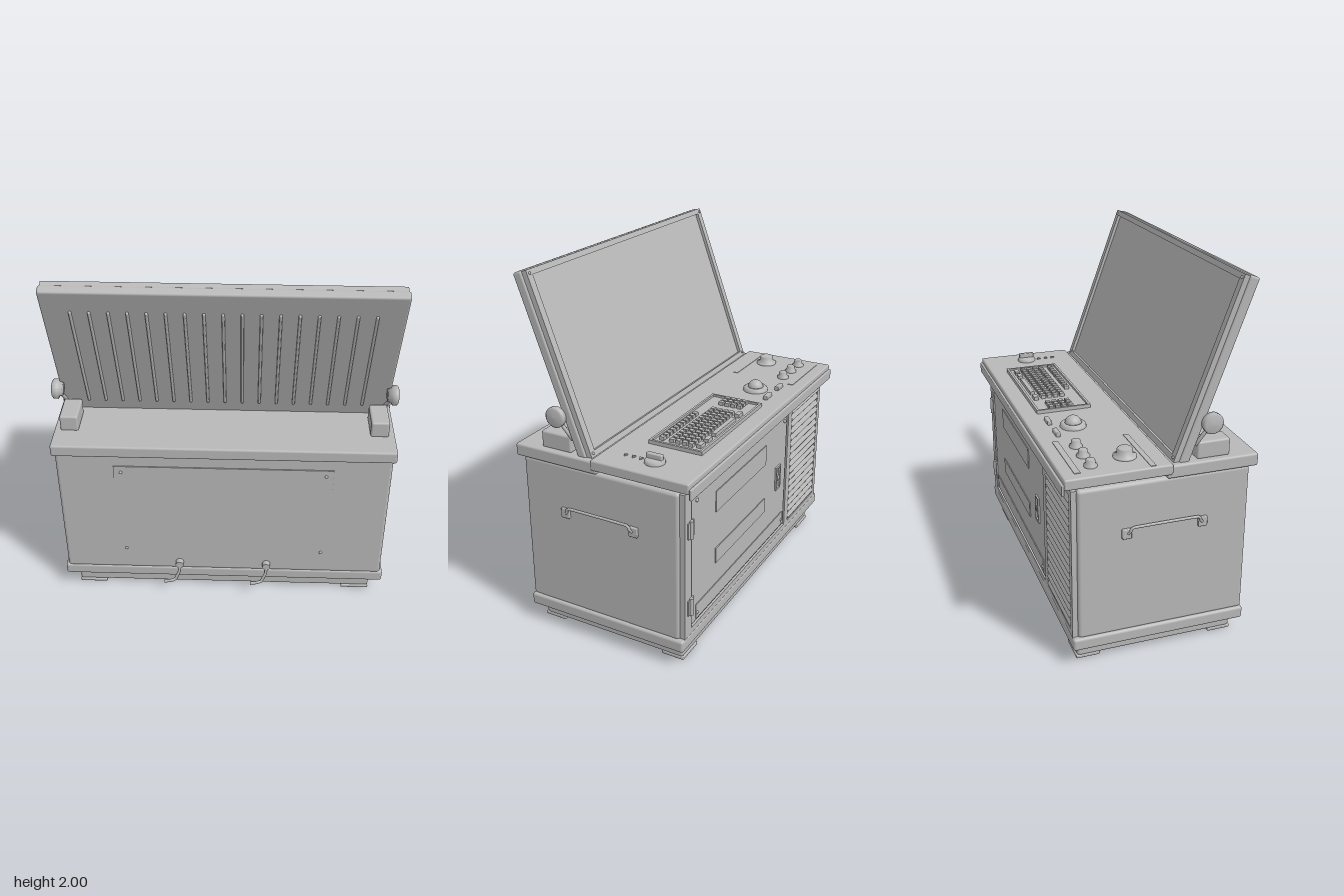
import * as THREE from 'three';
import { RoundedBoxGeometry } from 'three/addons/geometries/RoundedBoxGeometry.js';

const grey = new THREE.MeshStandardMaterial({ color: 0xb8b8b8 });
grey.name = 'painted metal grey';

function add(parent, name, geometry, x = 0, y = 0, z = 0) {
  const mesh = new THREE.Mesh(geometry, grey);
  mesh.name = name;
  mesh.position.set(x, y, z);
  parent.add(mesh);
  return mesh;
}
// Box from its lower and upper corners, with optional rounded edges
function block(parent, name, [x0, x1], [y0, y1], [z0, z1], r = 0) {
  const s = [x1 - x0, y1 - y0, z1 - z0];
  const g = r ? new RoundedBoxGeometry(...s, 2, r) : new THREE.BoxGeometry(...s);
  return add(parent, name, g, (x0 + x1) / 2, (y0 + y1) / 2, (z0 + z1) / 2);
}
function rect(target, x0, x1, y0, y1) {
  return target.moveTo(x0, y0).lineTo(x1, y0).lineTo(x1, y1).lineTo(x0, y1).closePath();
}
// Flat frame in the xy plane with rectangular holes
function frame(parent, name, outer, holes, depth, z) {
  const shape = rect(new THREE.Shape(), ...outer);
  for (const h of holes) shape.holes.push(rect(new THREE.Path(), ...h));
  return add(parent, name, new THREE.ExtrudeGeometry(shape, { depth, bevelEnabled: false }), 0, 0, z);
}
function rod(parent, name, points, r) {
  const curve = new THREE.CatmullRomCurve3(points.map(p => new THREE.Vector3(...p)), false, 'catmullrom', 0.2);
  return add(parent, name, new THREE.TubeGeometry(curve, 32, r, 8), 0, 0, 0);
}
// Turned knob from a short profile
function turned(parent, name, profile, x, y, z) {
  const pts = profile.map(p => new THREE.Vector2(...p));
  return add(parent, name, new THREE.LatheGeometry(pts, 24), x, y, z);
}

function buildCabinet(model) {
  const cabinet = new THREE.Group();
  cabinet.name = 'cabinet';
  model.add(cabinet);
  block(cabinet, 'body', [-0.915, 0.915], [0.16, 1.01], [-0.445, 0.475], 0.02);
  block(cabinet, 'baseTrim', [-0.93, 0.93], [0.1, 0.17], [-0.475, 0.478], 0.015);
  block(cabinet, 'plinth', [-0.86, 0.86], [0.015, 0.11], [-0.435, 0.435], 0.015);
  block(cabinet, 'frontShelf', [-0.925, 0.925], [1.005, 1.075], [0.02, 0.515], 0.012);
  for (const sx of [-1, 1]) {
    for (const sz of [-1, 1]) {
      block(cabinet, 'foot', [sx * 0.78 - 0.08, sx * 0.78 + 0.08], [0, 0.02], [sz * 0.375 - 0.065, sz * 0.375 + 0.065], 0.006);
    }
    block(cabinet, 'lidStopBlock', [sx * 0.84 - 0.05, sx * 0.84 + 0.05], [1.07, 1.165], [0.19, 0.37], 0.012);
    // Side carrying handle
    for (const z of [0.22, -0.19]) {
      block(cabinet, 'handlePad', [sx * 0.918 - 0.012, sx * 0.918 + 0.012], [0.71, 0.765], [z - 0.025, z + 0.025], 0.005);
    }
    rod(cabinet, 'handleBar', [[sx * 0.92, 0.735, 0.22], [sx * 0.934, 0.75, 0.205], [sx * 0.936, 0.775, 0.185],
      [sx * 0.936, 0.775, -0.155], [sx * 0.934, 0.75, -0.175], [sx * 0.92, 0.735, -0.19]], 0.008);
  }
  // Front panel with corner screws
  block(cabinet, 'frontPanel', [-0.6, 0.6], [0.28, 0.92], [0.473, 0.481]);
  for (const x of [-0.56, 0.56]) for (const y of [0.32, 0.88]) {
    add(cabinet, 'panelScrew', new THREE.SphereGeometry(0.009, 10, 8), x, y, 0.482);
  }
  // Bent levers at the front
  for (const x of [-0.255, 0.25]) {
    add(cabinet, 'leverPivot', new THREE.CylinderGeometry(0.023, 0.023, 0.035, 16), x, 0.215, 0.49).rotation.x = Math.PI / 2;
    rod(cabinet, 'lever', [[x, 0.215, 0.5], [x - 0.003, 0.165, 0.505], [x - 0.025, 0.11, 0.512], [x - 0.05, 0.1, 0.518], [x - 0.092, 0.092, 0.518]], 0.009);
  }
}

function buildRear(model) {
  const rear = new THREE.Group();
  rear.name = 'rearWall';
  model.add(rear);
  frame(rear, 'rearFrame', [-0.9, 0.9, 0.165, 1.005],
    [[-0.385, 0.83, 0.2, 0.98], [-0.86, -0.44, 0.2, 0.97]], 0.03, -0.472);
  // Door and its fittings
  block(rear, 'door', [-0.375, 0.82], [0.21, 0.97], [-0.468, -0.44], 0.006);
  block(rear, 'upperDoorPlate', [-0.07, 0.56], [0.75, 0.87], [-0.473, -0.467]);
  block(rear, 'lowerDoorPlate', [-0.07, 0.56], [0.44, 0.53], [-0.473, -0.467]);
  block(rear, 'kickPlate', [-0.34, 0.78], [0.225, 0.31], [-0.473, -0.467]);
  frame(rear, 'latchFrame', [-0.285, -0.22, 0.51, 0.66], [[-0.275, -0.23, 0.52, 0.65]], 0.012, -0.478);
  block(rear, 'latch', [-0.265, -0.24], [0.57, 0.6], [-0.478, -0.465]);
  for (const x of [-0.33, 0.77]) for (const y of [0.26, 0.92]) {
    add(rear, 'doorScrew', new THREE.SphereGeometry(0.011, 10, 8), x, y, -0.469);
  }
  for (const y of [0.34, 0.79]) {
    add(rear, 'doorHinge', new THREE.CylinderGeometry(0.013, 0.013, 0.1, 12), 0.84, y, -0.477);
    block(rear, 'hingeLeaf', [0.81, 0.87], [y - 0.045, y + 0.045], [-0.477, -0.465]);
  }
  // Louvred vent
  for (let i = 0; i < 17; i++) {
    const slat = block(rear, 'ventSlat', [-0.86, -0.44], [0.212 + i * 0.0445, 0.246 + i * 0.0445], [-0.472, -0.458], 0.005);
    slat.rotation.x = 0.5;
  }
}

function buildLid(model) {
  const lid = new THREE.Group();
  lid.name = 'lid';
  lid.position.set(0, 1.07, 0.06);
  lid.rotation.x = 0.35;
  model.add(lid);
  block(lid, 'lidCover', [-0.9, 0.9], [-0.01, 0.99], [0.028, 0.08], 0.012);
  frame(lid, 'screenBezel', [-0.89, 0.89, 0, 0.985], [[-0.85, 0.85, 0.035, 0.955]], 0.03, 0);
  block(lid, 'screen', [-0.85, 0.85], [0.035, 0.955], [0.018, 0.026]);
  for (const x of [-0.87, 0.87]) for (const y of [0.025, 0.965]) {
    add(lid, 'bezelScrew', new THREE.SphereGeometry(0.008, 8, 6), x, y, 0);
  }
  // Ribs on the outside of the lid
  for (let i = 0; i < 17; i++) {
    const rib = add(lid, 'coverRib', new THREE.CapsuleGeometry(0.008, 0.73, 4, 8), -0.755 + i * 0.0943, 0.485, 0.082);
    rib.scale.z = 1.4;
  }
  // Clamping knobs at the sides
  for (const sx of [-1, 1]) {
    const knob = turned(model, 'lidKnob', [[0, -0.03], [0.035, -0.03], [0.04, -0.01], [0.055, -0.005], [0.055, 0.018], [0.045, 0.027], [0, 0.03]],
      sx * 0.905, 1.27, 0.255);
    knob.rotation.z = -sx * Math.PI / 2;
    rod(model, 'lidStay', [[sx * 0.9, 1.27, 0.255], [sx * 0.9, 1.22, 0.22], [sx * 0.88, 1.15, 0.18]], 0.01);
  }
}

function buildConsole(model) {
  const deck = new THREE.Group();
  deck.name = 'controlDeck';
  model.add(deck);
  block(deck, 'deckPlate', [-0.935, 0.935], [1.03, 1.088], [-0.512, 0.047], 0.01);
  block(deck, 'rearLip', [-0.93, 0.93], [1.0, 1.06], [-0.525, -0.51], 0.005);
  const top = 1.087;
  // Knobs and ball
  const knobProfile = [[0.034, 0], [0.034, 0.012], [0.026, 0.016], [0.023, 0.038], [0.018, 0.042], [0, 0.043]];
  for (const x of [-0.82, -0.7, -0.58]) turned(deck, 'smallKnob', knobProfile, x, top, -0.345);
  turned(deck, 'largeKnob', [[0.06, 0], [0.06, 0.012], [0.042, 0.018], [0.04, 0.045], [0.033, 0.052], [0, 0.053]], -0.77, top, -0.15);
  turned(deck, 'ballCollar', [[0.072, 0], [0.07, 0.016], [0.058, 0.026], [0.046, 0.024], [0.04, 0.01]], -0.32, top, -0.28);
  add(deck, 'trackingBall', new THREE.SphereGeometry(0.045, 24, 16), -0.32, top + 0.018, -0.28);
  turned(deck, 'selectorKnob', [[0.054, 0], [0.054, 0.014], [0.045, 0.024], [0, 0.025]], 0.8, top, -0.25);
  block(deck, 'selectorGrip', [0.787, 0.813], [top, top + 0.05], [-0.295, -0.205], 0.006);
  for (const z of [-0.17, -0.125, -0.08]) {
    add(deck, 'indicator', new THREE.CylinderGeometry(0.013, 0.013, 0.01, 3), 0.8, top + 0.004, z).rotation.y = Math.PI / 2;
  }
  // Buttons and flat plates
  for (const x of [-0.4, -0.235]) block(deck, 'button', [x - 0.038, x + 0.038], [top, top + 0.025], [-0.408, -0.382], 0.005);
  block(deck, 'rearLabelPlate', [-0.88, -0.49], [top, top + 0.004], [-0.446, -0.414]);
  block(deck, 'frontLabelPlate', [-0.92, -0.52], [top, top + 0.004], [-0.068, -0.04]);
  // Keyboard
  const board = new THREE.Group();
  board.name = 'keyboard';
  deck.add(board);
  block(board, 'keyboardPlate', [-0.09, 0.615], [top, top + 0.01], [-0.41, -0.12]);
  const rim = frame(board, 'keyboardRim', [-0.1, 0.625, 0.11, 0.42], [[-0.087, 0.612, 0.123, 0.407]], 0.022, 0);
  rim.rotation.x = -Math.PI / 2;
  rim.position.y = top;
  const key = (x, z, w = 0.026) => block(board, 'key', [x - w / 2, x + w / 2], [top, top + 0.03], [z - 0.013, z + 0.013]);
  for (const z of [-0.33, -0.293, -0.256, -0.219]) {
    for (let i = 0; i < 14; i++) key(0.105 + i * 0.0355, z);
    for (let i = 0; i < 3; i++) key(-0.07 + i * 0.0355, z);
  }
  for (let i = 0; i < 11; i++) key(0.21 + i * 0.0355, -0.16);
  for (const [x, w] of [[0.105, 0.05], [0.29, 0.24], [0.47, 0.05], [0.548, 0.05]]) key(x, -0.375, w);
}

export function createModel() {
  const model = new THREE.Group();
  model.name = 'consoleCabinet';
  buildCabinet(model);
  buildRear(model);
  buildLid(model);
  buildConsole(model);
  return model;
}
